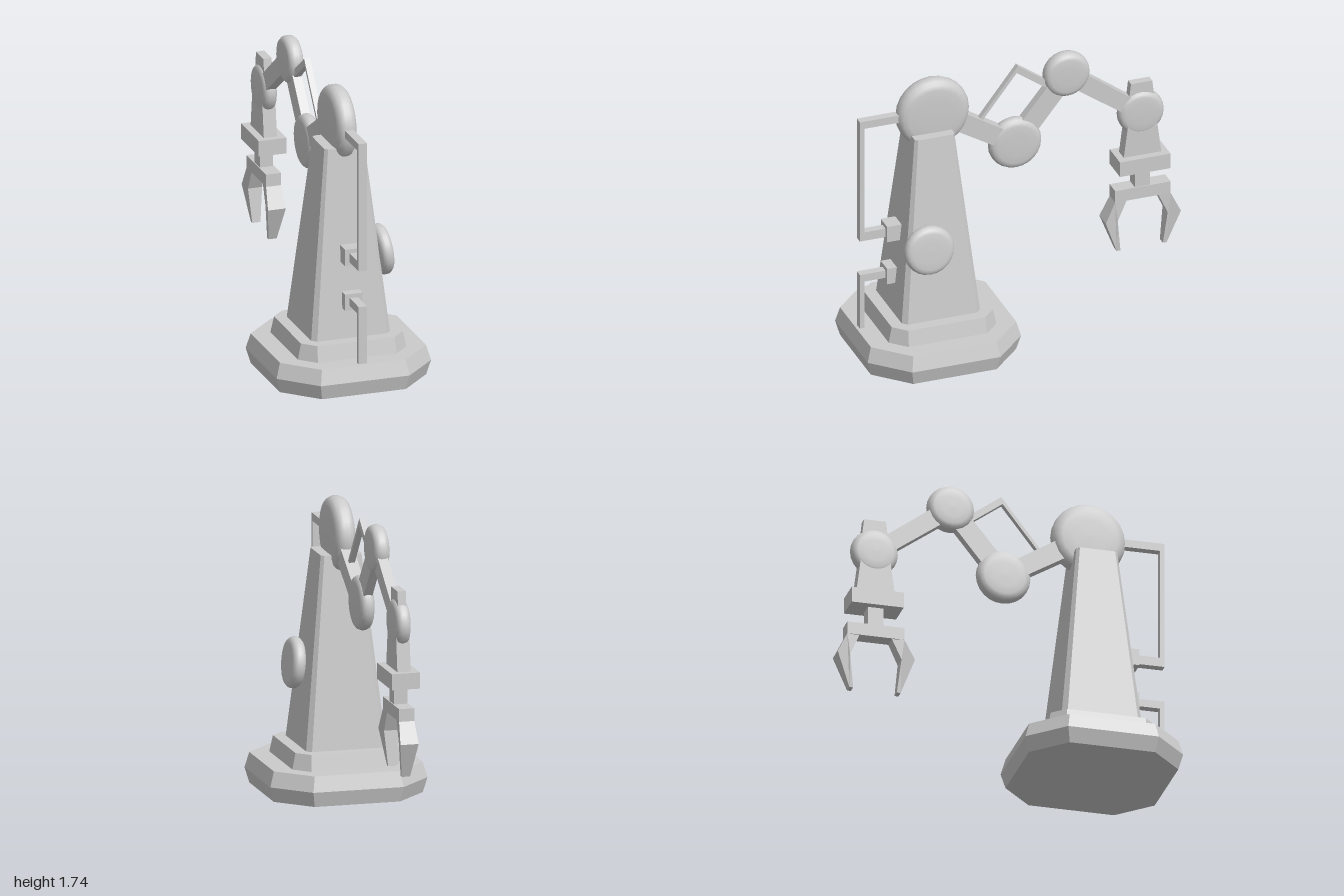
import * as THREE from 'three';

const smooth = new THREE.MeshStandardMaterial({ color: 0xcccccc });
const flat = new THREE.MeshStandardMaterial({ color: 0xcccccc, flatShading: true });

export function createModel() {
  const model = new THREE.Group();
  const BASE_Z = 0.53, GRIP_Z = -0.77;

  const add = (name, geometry, material = flat) => {
    const mesh = new THREE.Mesh(geometry, material);
    mesh.name = name;
    model.add(mesh);
    return mesh;
  };

  // Chamfered-square tower; each ring is [y, half width, half length of the straight side]
  const tower = (name, rings) => {
    const pos = [];
    const loops = rings.map(([y, h, f]) =>
      [[h, -f], [h, f], [f, h], [-f, h], [-h, f], [-h, -f], [-f, -h], [f, -h]]
        .map(([x, z]) => [x, y, z + BASE_Z]));
    const tri = (...corners) => corners.forEach((c) => pos.push(...c));
    for (let r = 0; r < loops.length - 1; r++) {
      for (let i = 0; i < 8; i++) {
        const j = (i + 1) % 8;
        const a = loops[r][i], b = loops[r][j], c = loops[r + 1][j], d = loops[r + 1][i];
        tri(a, d, c);
        tri(a, c, b);
      }
    }
    const low = loops[0], top = loops[loops.length - 1];
    for (let i = 1; i < 7; i++) {
      tri(low[0], low[i], low[i + 1]);
      tri(top[0], top[i + 1], top[i]);
    }
    const g = new THREE.BufferGeometry();
    g.setAttribute('position', new THREE.Float32BufferAttribute(pos, 3));
    g.computeVertexNormals();
    return add(name, g);
  };

  // Side outline given as [z, y] points, extruded along x
  const slab = (name, points, halfX) => {
    const shape = new THREE.Shape(points.map(([z, y]) => new THREE.Vector2(z, y)));
    const g = new THREE.ExtrudeGeometry(shape, { depth: halfX * 2, bevelEnabled: false });
    g.translate(0, 0, -halfX).rotateY(-Math.PI / 2);
    return add(name, g);
  };

  const box = (name, z0, z1, y0, y1, halfX) =>
    add(name, new THREE.BoxGeometry(halfX * 2, y1 - y0, z1 - z0)
      .translate(0, (y0 + y1) / 2, (z0 + z1) / 2));

  // Cushion-shaped disc with its axis along x
  const disc = (name, x, y, z, radius, half) => {
    const side = [[1, 0.22], [0.96, 0.55], [0.88, 0.8], [0.75, 0.93], [0.45, 0.98], [0, 1]];
    const points = [...side.map(([r, t]) => [r, -t]).reverse(), ...side]
      .map(([r, t]) => new THREE.Vector2(r * radius, t * half));
    const mesh = add(name, new THREE.LatheGeometry(points, 24).rotateZ(-Math.PI / 2), smooth);
    mesh.position.set(x, y, z);
    return mesh;
  };

  // Straight arm segment between two [z, y] points
  const link = (name, [z0, y0], [z1, y1], w0, w1, halfX) => {
    const len = Math.hypot(z1 - z0, y1 - y0);
    const nz = -(y1 - y0) / len / 2, ny = (z1 - z0) / len / 2;
    slab(name, [
      [z0 + nz * w0, y0 + ny * w0], [z0 - nz * w0, y0 - ny * w0],
      [z1 - nz * w1, y1 - ny * w1], [z1 + nz * w1, y1 + ny * w1],
    ], halfX);
  };

  // Pedestal
  tower('base', [[0, 0.445, 0.255], [0.09, 0.47, 0.27], [0.18, 0.445, 0.255]]);
  tower('baseStep', [[0.18, 0.33, 0.24], [0.275, 0.31, 0.235]]);
  tower('column', [[0.275, 0.24, 0.212], [1.4, 0.122, 0.105]]);
  const sideDisc = disc('sideDisc', 0.231, 0.735, 0.61, 0.15, 0.043);
  sideDisc.rotation.z = 0.107;

  // Front conduits and their sockets
  slab('upperConduit', [
    [0.6, 1.53], [0.957, 1.53], [0.957, 0.75], [0.78, 0.75],
    [0.78, 0.805], [0.93, 0.805], [0.93, 1.483], [0.6, 1.483],
  ], 0.025);
  slab('lowerConduit', [
    [0.78, 0.53], [0.957, 0.53], [0.957, 0.17], [0.93, 0.17], [0.93, 0.483], [0.78, 0.483],
  ], 0.025);
  box('upperSocket', 0.68, 0.8, 0.73, 0.83, 0.053);
  box('lowerSocket', 0.68, 0.8, 0.455, 0.555, 0.053);

  // Joints and arm segments
  const shoulder = [0.505, 1.505], elbow = [0, 1.21], upper = [-0.315, 1.6], wrist = [GRIP_Z, 1.267];
  disc('shoulderJoint', 0, shoulder[1], shoulder[0], 0.22, 0.066);
  disc('elbowJoint', 0, elbow[1], elbow[0], 0.16, 0.047);
  disc('upperJoint', 0, upper[1], upper[0], 0.14, 0.05);
  disc('wristJoint', 0, wrist[1], wrist[0], 0.14, 0.046);
  link('shoulderArm', [0.46, 1.492], elbow, 0.12, 0.11, 0.038);
  link('middleArm', elbow, upper, 0.125, 0.12, 0.027);
  link('foreArm', upper, wrist, 0.11, 0.1, 0.03);

  // Bent brace above the elbow
  slab('brace', [
    [0.24, 1.38], [-0.015, 1.71], [-0.25, 1.54], [-0.25, 1.49], [-0.007, 1.667], [0.2, 1.4],
  ], 0.018);

  // Wrist housing and palm
  slab('wristCap', [
    [GRIP_Z - 0.085, 1.3], [GRIP_Z + 0.085, 1.3], [GRIP_Z + 0.065, 1.465], [GRIP_Z - 0.065, 1.465],
  ], 0.025);
  slab('wristHousing', [
    [GRIP_Z - 0.115, 1], [GRIP_Z + 0.115, 1], [GRIP_Z + 0.08, 1.27], [GRIP_Z - 0.08, 1.27],
  ], 0.04);
  box('palm', GRIP_Z - 0.155, GRIP_Z + 0.155, 0.905, 1, 0.085);
  box('gripperStem', GRIP_Z - 0.047, GRIP_Z + 0.047, 0.78, 0.91, 0.04);

  // Two-fingered claw, wider on its outer faces and narrow at the tips
  const finger = [[0.17, 0.795], [0.17, 0.72], [0.23, 0.597], [0.153, 0.39],
    [0.13, 0.39], [0.153, 0.595], [0.097, 0.718]];
  const outline = [...finger, ...finger.map(([z, y]) => [-z, y]).reverse()]
    .map(([z, y]) => [z + GRIP_Z, y]);
  const claw = slab('claw', outline, 1);
  const p = claw.geometry.attributes.position;
  for (let i = 0; i < p.count; i++) {
    const spread = Math.abs(p.getZ(i) - GRIP_Z);
    const half = p.getY(i) < 0.45 ? 0.025 : Math.max(0.04, 0.02 + 0.15 * spread);
    p.setX(i, Math.sign(p.getX(i)) * half);
  }
  claw.geometry.computeVertexNormals();

  return model;
}
